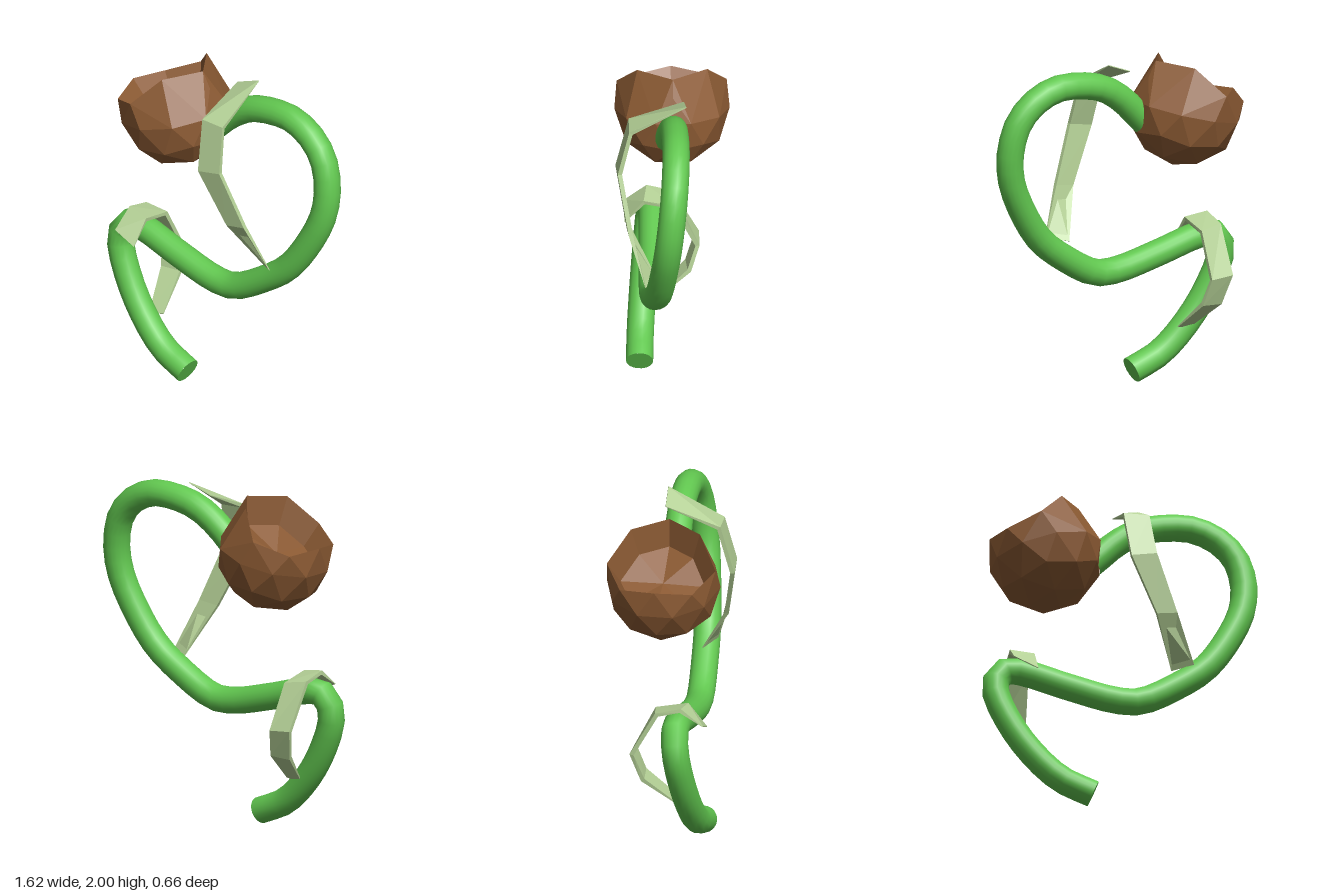
import * as THREE from 'three';
import { ConvexGeometry } from 'three/addons/geometries/ConvexGeometry.js';

const V = (x, y, z) => new THREE.Vector3(x, y, z);
const brown = new THREE.MeshStandardMaterial({ color: 0x8b5a33, flatShading: true });
const green = new THREE.MeshStandardMaterial({ color: 0x62c850 });
const paleGreen = new THREE.MeshStandardMaterial({ color: 0xb4d096, flatShading: true, side: THREE.DoubleSide });

function named(name, geometry, material) {
  const mesh = new THREE.Mesh(geometry, material);
  mesh.name = name;
  return mesh;
}

function fromTriangles(points) {
  const g = new THREE.BufferGeometry().setFromPoints(points);
  g.computeVertexNormals();
  return g;
}

// Curling stem: a tube whose path lies in a plane leaning back as it rises
function makeStem() {
  const path = [
    [-0.175, 0.08], [-0.36, 0.16], [-0.52, 0.31], [-0.65, 0.5], [-0.73, 0.7], [-0.72, 0.79],
    [-0.67, 0.845], [-0.59, 0.85], [-0.3, 0.775], [-0.03, 0.715], [0.11, 0.72], [0.34, 0.85],
    [0.5, 0.98], [0.64, 1.19], [0.72, 1.38], [0.735, 1.55], [0.69, 1.72], [0.59, 1.83],
    [0.45, 1.89], [0.31, 1.89], [0.14, 1.85], [0, 1.76], [-0.1, 1.66], [-0.16, 1.6],
  ].map(([x, y]) => V(x, y, 0.2 - 0.107 * y));
  const curve = new THREE.CatmullRomCurve3(path);
  const group = new THREE.Group();
  group.name = 'stem';
  group.add(named('stemTube', new THREE.TubeGeometry(curve, 48, 0.078, 18), green));
  const cap = named('stemEnd', new THREE.CircleGeometry(0.078, 18), green);
  cap.position.copy(path[0]);
  cap.lookAt(path[0].clone().sub(curve.getTangent(0)));
  group.add(cap);
  return group;
}

// Faceted head: a ball with a sunken mouth in its upper side
function makeHead() {
  const head = new THREE.Group();
  head.name = 'head';
  head.position.set(-0.415, 1.645, 0);
  const axis = V(-0.39, 0.92, 0).normalize();
  const side = [[0.055, 0.295, 0.2], [-0.085, 0.135, 0.315], [-0.265, 0.055, 0.21]];
  const rim = [
    V(0.195, 0.315, 0), ...side.map(p => V(...p)), V(-0.325, 0.075, 0),
    ...side.slice().reverse().map(([x, y, z]) => V(x, y, -z)),
  ];

  // Outer shell: hull of the rim and the ball below it, without the lid
  const ball = new THREE.IcosahedronGeometry(0.33, 1);
  ball.rotateZ(-0.29);
  const pos = ball.attributes.position;
  const points = [...rim];
  for (let i = 0; i < pos.count; i++) {
    const p = new THREE.Vector3().fromBufferAttribute(pos, i);
    const isNew = points.every(q => q.distanceTo(p) > 0.01);
    if (isNew && p.dot(axis) < 0.13) points.push(p);
  }
  const hull = new ConvexGeometry(points).attributes.position;
  const shell = [];
  for (let i = 0; i < hull.count; i += 3) {
    const tri = [0, 1, 2].map(k => new THREE.Vector3().fromBufferAttribute(hull, i + k));
    if (!tri.every(p => p.dot(axis) > 0.14)) shell.push(...tri);
  }
  head.add(named('headShell', fromTriangles(shell), brown));

  // Mouth: walls down to a smaller, deeper floor
  const centre = rim.reduce((s, p) => s.add(p), V(0, 0, 0)).divideScalar(rim.length);
  const floor = rim.map(p => p.clone().lerp(centre, 0.22).addScaledVector(axis, -0.15));
  const middle = centre.clone().addScaledVector(axis, -0.18);
  const mouth = [];
  rim.forEach((p, i) => {
    const j = (i + 1) % rim.length;
    mouth.push(rim[j], p, floor[i], rim[j], floor[i], floor[j], floor[j], floor[i], middle);
  });
  head.add(named('mouth', fromTriangles(mouth), brown));
  return head;
}

// Leaf: a thin bent strip lofted through [left edge, right edge] rows
function makeLeaf(name, rows, thickness) {
  const mids = rows.map(([l, r]) => l.clone().add(r).multiplyScalar(0.5));
  const rings = rows.map(([l, r], i) => {
    const along = mids[Math.min(i + 1, rows.length - 1)].clone().sub(mids[Math.max(i - 1, 0)]);
    const tapered = i === 0 || i === rows.length - 1 ? 0.2 : 1;
    const n = along.cross(r.clone().sub(l)).normalize().multiplyScalar(thickness * tapered);
    return [l, r, r.clone().add(n), l.clone().add(n)];
  });
  const tris = [];
  const quad = (a, b, c, d) => tris.push(a, b, c, a, c, d);
  for (let i = 0; i < rings.length - 1; i++) {
    for (let k = 0; k < 4; k++) {
      const m = (k + 1) % 4;
      quad(rings[i][k], rings[i][m], rings[i + 1][m], rings[i + 1][k]);
    }
  }
  quad(...rings[0]);
  quad(...rings[rings.length - 1]);
  return named(name, fromTriangles(tris), paleGreen);
}

export function createModel() {
  const model = new THREE.Group();
  model.name = 'plant';
  model.add(makeStem(), makeHead());

  // Upper leaf arches over the stem and hangs down in front
  model.add(makeLeaf('upperLeaf', [
    [V(-0.01, 1.94, -0.06), V(0.14, 2.0, -0.07)],
    [V(-0.01, 1.82, 0.24), V(0.14, 1.82, 0.24)],
    [V(0.02, 1.54, 0.31), V(0.17, 1.57, 0.3)],
    [V(0.18, 1.22, 0.25), V(0.3, 1.24, 0.24)],
    [V(0.3, 0.94, 0.1), V(0.42, 0.96, 0.17)],
  ], 0.025));

  // Lower leaf folds over the stem and hangs down behind
  model.add(makeLeaf('lowerLeaf', [
    [V(-0.65, 0.87, 0.27), V(-0.51, 0.81, 0.27)],
    [V(-0.65, 0.97, 0.14), V(-0.51, 0.95, 0.16)],
    [V(-0.65, 0.93, -0.01), V(-0.51, 0.91, -0.03)],
    [V(-0.64, 0.66, -0.16), V(-0.5, 0.65, -0.16)],
    [V(-0.6, 0.48, -0.1), V(-0.47, 0.49, -0.11)],
    [V(-0.52, 0.3, 0.12), V(-0.43, 0.32, 0.1)],
  ], 0.025));
  return model;
}
